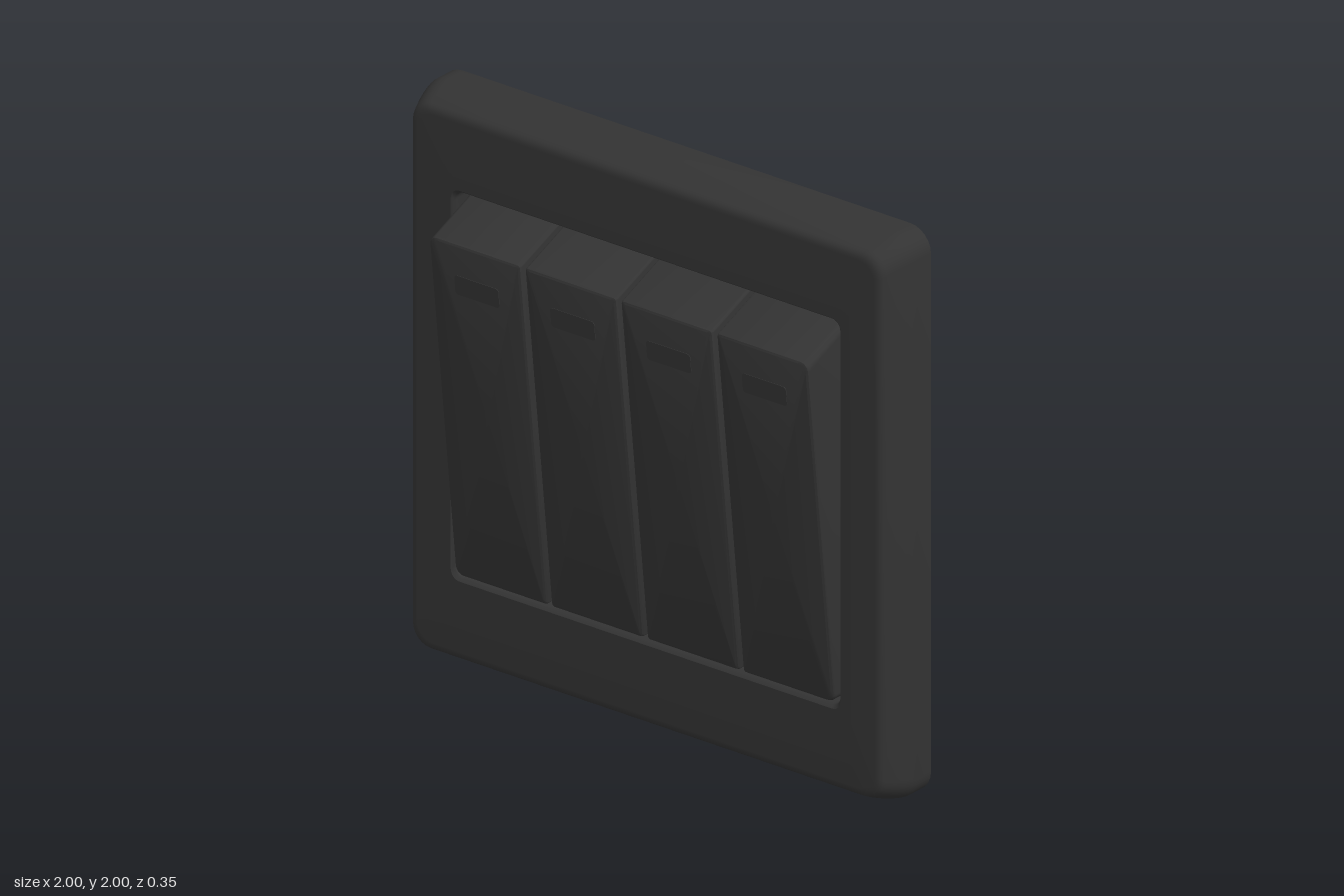
import * as THREE from 'three';
import { toCreasedNormals } from 'three/addons/utils/BufferGeometryUtils.js';

const material = new THREE.MeshStandardMaterial({ color: 0x333333, side: THREE.DoubleSide });
const STEPS = 6; // segments per rounded corner

// Counter-clockwise rounded rectangle; z is a number or a rule z(y)
function ring(x0, x1, y0, y1, rLeft, rRight, z) {
  const corners = [
    [x1 - rRight, y0 + rRight, rRight, -Math.PI / 2],
    [x1 - rRight, y1 - rRight, rRight, 0],
    [x0 + rLeft, y1 - rLeft, rLeft, Math.PI / 2],
    [x0 + rLeft, y0 + rLeft, rLeft, Math.PI],
  ];
  const points = [];
  for (const [cx, cy, r, start] of corners) {
    for (let i = 0; i <= STEPS; i++) {
      const a = start + (i / STEPS) * Math.PI / 2;
      const y = cy + r * Math.sin(a);
      points.push(new THREE.Vector3(cx + r * Math.cos(a), y, typeof z === 'function' ? z(y) : z));
    }
  }
  return points;
}

// Skin a series of rings and close the last one
function loft(name, rings) {
  const n = rings[0].length;
  const positions = [];
  const tri = (...pts) => pts.forEach((p) => positions.push(p.x, p.y, p.z));
  for (let k = 0; k < rings.length - 1; k++) {
    const a = rings[k], b = rings[k + 1];
    for (let i = 0; i < n; i++) {
      const j = (i + 1) % n;
      tri(a[i], a[j], b[j]);
      tri(a[i], b[j], b[i]);
    }
  }
  const last = rings[rings.length - 1];
  const centre = new THREE.Vector3();
  last.forEach((p) => centre.addScaledVector(p, 1 / n));
  for (let i = 0; i < n; i++) tri(centre, last[i], last[(i + 1) % n]);
  const geometry = new THREE.BufferGeometry();
  geometry.setAttribute('position', new THREE.Float32BufferAttribute(positions, 3));
  const mesh = new THREE.Mesh(toCreasedNormals(geometry, 0.5), material);
  mesh.name = name;
  return mesh;
}

// Tilted front face of the rockers, with an offset
const face = (offset) => (y) => 0.037 + ((y - 0.335) / 1.245) * 0.137 + offset;

export function createModel() {
  const group = new THREE.Group();
  group.name = 'wallSwitch';

  // Thin shell, open at the back: inset from the edge and z
  const outer = [
    [0, -0.172], [0, -0.1], [0.003, -0.08], [0.01, -0.052], [0.021, -0.018],
    [0.033, 0.014], [0.038, 0.025], [0.046, 0.033], [0.056, 0.037], [0.066, 0.038],
  ];
  const shell = outer.map(([d, z]) => ring(-1 + d, 1 - d, d, 2 - d, 0.085 - d * 0.3, 0.085 - d * 0.3, z));
  // Opening with a bevelled lip, then the pocket behind the rockers
  const pocket = [[0, 0.038], [0.004, 0.034], [0.009, 0.026], [0.009, -0.062]];
  for (const [d, z] of pocket) {
    shell.push(ring(-0.797 + d, 0.797 - d, 0.315 + d, 1.697 - d, 0.035, 0.035, z));
  }
  group.add(loft('framePlate', shell));

  // Four tilted rockers; only the outermost corners are well rounded
  for (let i = 0; i < 4; i++) {
    const x0 = -0.78 + i * 0.392;
    const x1 = x0 + 0.374;
    const rl = i === 0 ? 0.03 : 0.01;
    const rr = i === 3 ? 0.03 : 0.01;
    const rocker = new THREE.Group();
    rocker.name = 'rocker' + (i + 1);
    const rings = [ring(x0, x1, 0.335, 1.678, rl, rr, -0.06)];
    for (const [d, depth] of [[0, -0.012], [0.003, -0.004], [0.01, 0]]) {
      rings.push(ring(x0 + d, x1 - d, 0.335 + d, 1.586 - d, rl, rr, face(depth)));
    }
    rocker.add(loft('rockerBody', rings));

    // Small indicator window near the top
    const cx = (x0 + x1) / 2;
    rocker.add(loft('indicator', [
      ring(cx - 0.09, cx + 0.09, 1.4, 1.47, 0.012, 0.012, face(-0.002)),
      ring(cx - 0.09, cx + 0.09, 1.4, 1.47, 0.012, 0.012, face(0.002)),
    ]));
    group.add(rocker);
  }
  return group;
}
